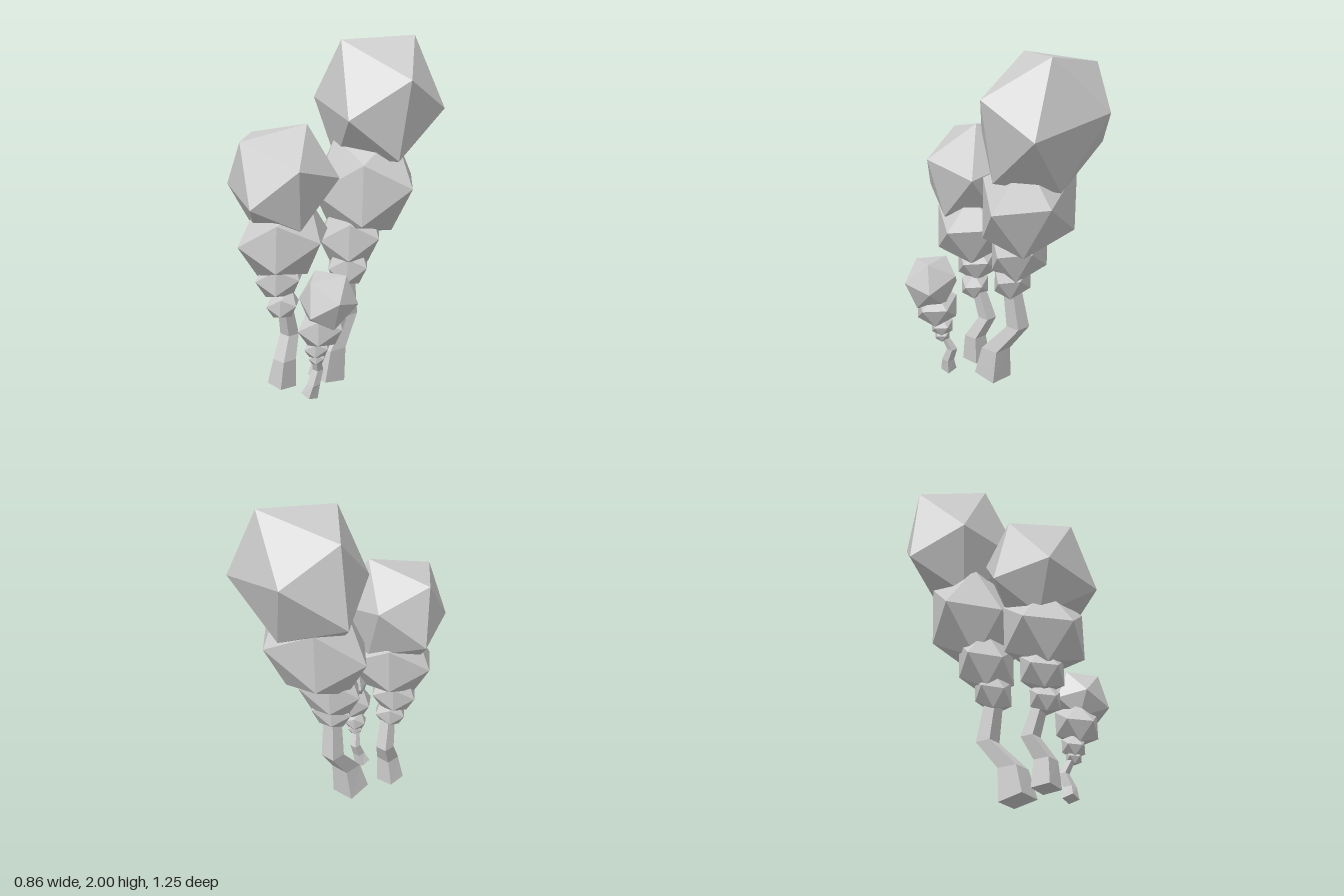
import * as THREE from 'three';
import { ConvexGeometry } from 'three/addons/geometries/ConvexGeometry.js';

const material = new THREE.MeshStandardMaterial({ color: 0xcccccc, flatShading: true });
const vec = (p) => new THREE.Vector3(...p);

// Uneven twenty-sided crown, shared by all trees
function crownGeometry() {
  const corners = [
    [0.16, 0.38, -0.19], [-0.05, 0.36, 0.195], [-0.34, 0.3, -0.085], [0.4, 0.157, 0.09],
    [0.15, -0.07, 0.33], [-0.27, 0.02, 0.205], [-0.4, -0.157, -0.09], [0.35, -0.03, -0.245],
    [-0.15, 0.07, -0.335], [0.31, -0.305, 0.09], [0.05, -0.36, -0.17], [-0.16, -0.36, 0.13],
  ];
  return new ConvexGeometry(corners.map(vec));
}

// Icosahedron stretched so that its first face lands on the corners a, b, c
function stretchedIcosahedron(a, b, c) {
  const geometry = new THREE.IcosahedronGeometry(1, 0);
  const face = [0, 1, 2].map((i) => new THREE.Vector3().fromBufferAttribute(geometry.attributes.position, i));
  const from = new THREE.Matrix4().makeBasis(...face).invert();
  geometry.applyMatrix4(new THREE.Matrix4().makeBasis(vec(a), vec(b), vec(c)).multiply(from));
  geometry.computeVertexNormals();
  return geometry;
}

// Bent square trunk through path points [x, y, z, half width]
function trunkGeometry(path) {
  const positions = [];
  const index = [0, 2, 1, 0, 3, 2];
  const square = [[1, 1], [1, -1], [-1, -1], [-1, 1]];
  const [p, q] = path;
  path.forEach(([x, y, z, half], ring) => {
    square.forEach(([sx, sz], k) => {
      // The foot is cut square to the lowest length of trunk
      const tilt = ring === 0 ? -half * (sx * (q[0] - p[0]) + sz * (q[2] - p[2])) / (q[1] - p[1]) : 0;
      positions.push(x + sx * half, Math.max(0, y + tilt), z + sz * half);
      if (ring === 0) return;
      const high = ring * 4, low = high - 4, next = (k + 1) % 4;
      index.push(low + k, low + next, high + next, low + k, high + next, high + k);
    });
  });
  const geometry = new THREE.BufferGeometry();
  geometry.setAttribute('position', new THREE.Float32BufferAttribute(positions, 3));
  geometry.setIndex(index);
  const flat = geometry.toNonIndexed();
  flat.computeVertexNormals();
  return flat;
}

// Each tree: crown and lower clumps as [x, y, z, scale], their extra depth in z,
// crown tilt and trunk path
const trees = [
  {
    name: 'tallTree', tilt: [0, 0, 0], depth: 1,
    crown: [-0.0125, 1.6175, -0.295, 1],
    clumps: [[0.01, 1.145, -0.21, 1], [-0.01, 0.85, -0.12, 0.61], [0.01, 0.675, -0.085, 0.4]],
    trunk: [[0.003, 0.015, 0.085, 0.076], [0.01, 0.2, 0.05, 0.06], [-0.02, 0.37, -0.1, 0.047], [0.005, 0.62, -0.075, 0.037]],
  },
  {
    name: 'middleTree', tilt: [0.19, 0, 0], depth: 1.21,
    crown: [-0.125, 1.22, 0.335, 0.765],
    clumps: [[-0.09, 0.895, 0.325, 0.76], [-0.12, 0.66, 0.33, 0.41], [-0.095, 0.505, 0.33, 0.28]],
    trunk: [[-0.105, 0.012, 0.335, 0.058], [-0.09, 0.17, 0.325, 0.046], [-0.125, 0.3, 0.255, 0.038], [-0.1, 0.5, 0.31, 0.03]],
  },
  {
    name: 'smallTree', tilt: [0.15, 0, -0.2], depth: 1.28,
    crown: [0.266, 0.613, 0.333, 0.383],
    clumps: [[0.23, 0.455, 0.325, 0.39], [0.19, 0.32, 0.325, 0.21], [0.19, 0.26, 0.325, 0.14]],
    trunk: [[0.133, 0.015, 0.335, 0.033], [0.152, 0.085, 0.32, 0.026], [0.15, 0.165, 0.285, 0.022], [0.178, 0.25, 0.32, 0.016]],
  },
];

export function createModel() {
  const model = new THREE.Group();
  model.name = 'treeCluster';
  const crownShape = crownGeometry();
  const clumpShape = stretchedIcosahedron([0.35, 0.01, -0.045], [0.18, -0.2, 0.19], [0.145, -0.27, -0.09]);

  for (const { name, tilt, depth, crown, clumps, trunk } of trees) {
    const tree = new THREE.Group();
    tree.name = name;
    const addFoliage = (partName, geometry, [x, y, z, scale]) => {
      const mesh = new THREE.Mesh(geometry, material);
      mesh.name = partName;
      mesh.position.set(x, y, z);
      mesh.scale.set(scale, scale, scale * depth);
      tree.add(mesh);
      return mesh;
    };
    addFoliage('crown', crownShape, crown).rotation.set(...tilt);
    clumps.forEach((clump, i) => addFoliage(`foliageClump${i + 1}`, clumpShape, clump));
    const trunkMesh = new THREE.Mesh(trunkGeometry(trunk), material);
    trunkMesh.name = 'trunk';
    tree.add(trunkMesh);
    model.add(tree);
  }
  return model;
}
